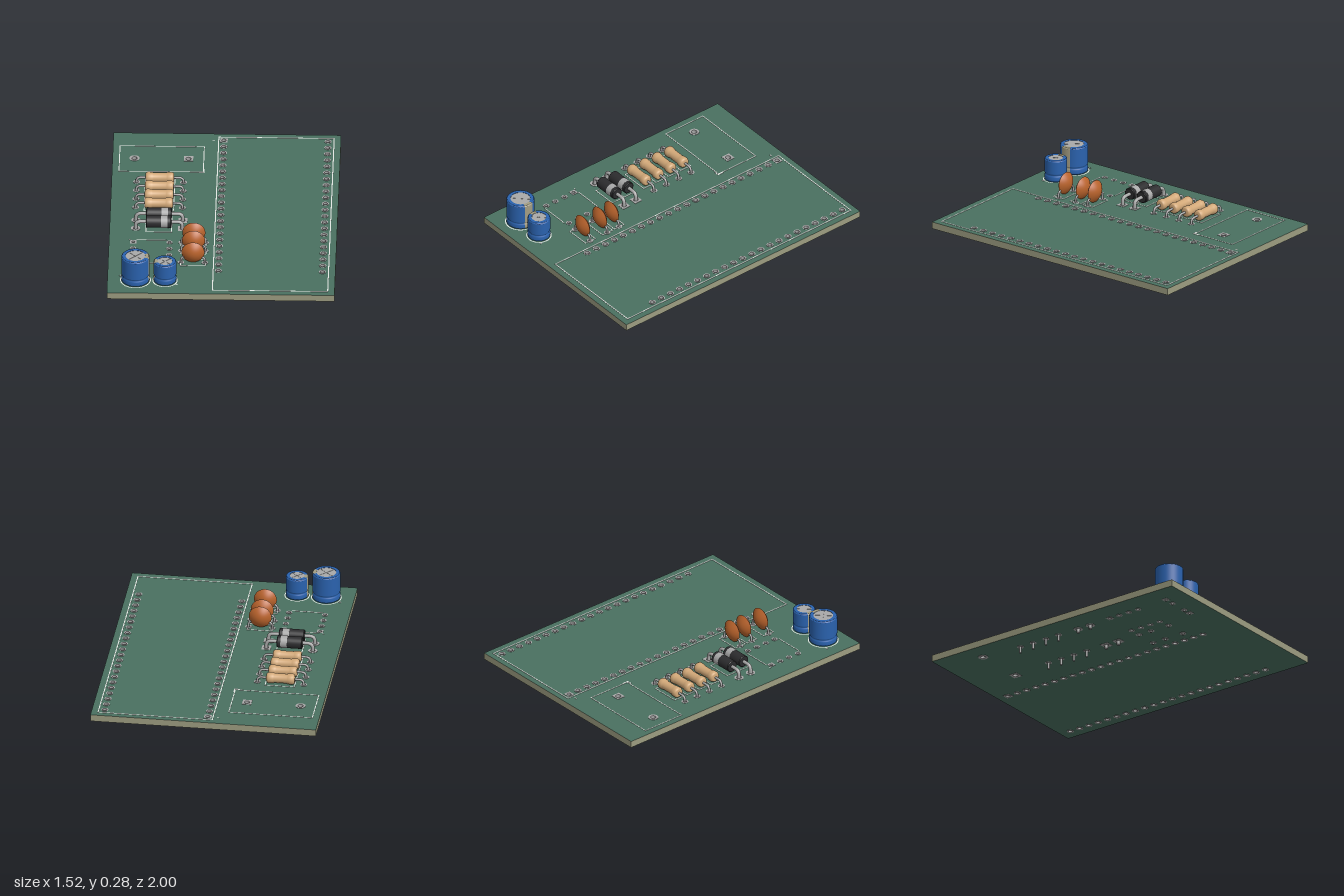
import * as THREE from 'three';

const mat = (name, color, side = THREE.FrontSide) => {
  const m = new THREE.MeshStandardMaterial({ color, side });
  m.name = name;
  return m;
};

export function createModel() {
  const green = mat('solder mask green', 0x4a7060);
  const edge = mat('board edge olive', 0x9c9c80);
  const silk = mat('silkscreen white', 0xe4e8e4);
  const metal = mat('tinned metal', 0xa9a9a9);
  const blue = mat('capacitor blue', 0x2a62ae, THREE.DoubleSide);
  const beige = mat('stripe beige', 0xa39d83, THREE.DoubleSide);
  const orange = mat('ceramic orange', 0xb9632c);
  const tan = mat('resistor tan', 0xd2a878);
  const black = mat('diode black', 0x2c2c2e);

  const root = new THREE.Group();
  root.name = 'circuitBoard';
  const TOP = 0.092, BOTTOM = 0.045;

  const add = (parent, name, geometry, material, x = 0, y = 0, z = 0) => {
    const mesh = new THREE.Mesh(geometry, material);
    mesh.name = name;
    mesh.position.set(x, y, z);
    parent.add(mesh);
    return mesh;
  };
  const group = (name) => {
    const g = new THREE.Group();
    g.name = name;
    root.add(g);
    return g;
  };
  const V = (x, y) => new THREE.Vector2(x, y);
  const circleHole = (x, y, r) => new THREE.Path().absarc(x, y, r, 0, Math.PI * 2, true);
  const lathe = (pts, seg = 32, start = 0, len = Math.PI * 2) =>
    new THREE.LatheGeometry(pts.map(p => V(...p)), seg, start, len);

  // Plated pads, each passing through the board
  const holes = [];
  const pads = group('pads');
  const pad = (x, z, outer, inner, square = false) => {
    holes.push([x, z, (outer + inner) / 2]);
    const s = new THREE.Shape();
    if (square) {
      s.moveTo(-outer, -outer).lineTo(outer, -outer).lineTo(outer, outer).lineTo(-outer, outer).closePath();
    } else s.absarc(0, 0, outer, 0, Math.PI * 2, false);
    s.holes.push(circleHole(0, 0, inner));
    const g = new THREE.ExtrudeGeometry(s, { depth: TOP - BOTTOM + 0.004, bevelEnabled: false, curveSegments: 10 });
    add(pads, 'pad', g.rotateX(-Math.PI / 2), metal, x, BOTTOM - 0.002, z);
  };

  // Silkscreen lines
  const marks = group('silkscreen');
  const line = (x0, z0, x1, z1, w = 0.007) =>
    add(marks, 'printedLine', new THREE.BoxGeometry(Math.abs(x1 - x0) + w, 0.002, Math.abs(z1 - z0) + w), silk,
      (x0 + x1) / 2, TOP + 0.001, (z0 + z1) / 2);
  const outline = (x0, z0, x1, z1, w) => {
    for (const z of [z0, z1]) line(x0, z, x1, z, w);
    for (const x of [x0, x1]) line(x, z0, x, z1, w);
  };
  const ringMark = (x, z, r) =>
    add(marks, 'printedRing', new THREE.RingGeometry(r, r + 0.007, 40).rotateX(-Math.PI / 2), silk, x, TOP + 0.002, z);

  // Round wire along a list of [x, y] corners with rounded bends
  const wire = (parent, z, r, corners, bend = 0.03) => {
    const p = corners.map(([x, y]) => new THREE.Vector3(x, y, 0));
    const path = new THREE.CurvePath();
    let from = p[0];
    for (let i = 1; i < p.length - 1; i++) {
      const a = p[i].clone().add(p[i - 1].clone().sub(p[i]).setLength(bend));
      const b = p[i].clone().add(p[i + 1].clone().sub(p[i]).setLength(bend));
      path.add(new THREE.LineCurve3(from, a));
      path.add(new THREE.QuadraticBezierCurve3(a, p[i], b));
      from = b;
    }
    path.add(new THREE.LineCurve3(from, p[p.length - 1]));
    add(parent, 'lead', new THREE.TubeGeometry(path, 48, r, 10, false), metal, 0, 0, z);
    for (const end of [p[0], p[p.length - 1]])
      if (end.y < BOTTOM)
        add(parent, 'leadTip', new THREE.CircleGeometry(r, 10).rotateX(Math.PI / 2), metal, end.x, end.y, z);
  };

  // Long double pin row
  for (let i = 0; i < 22; i++) {
    const z = -0.917 + i * 0.0774;
    pad(-0.021, z, i ? 0.024 : 0.025, 0.015, i === 0);
    pad(0.674, z, 0.024, 0.015);
  }
  outline(-0.056, -0.957, 0.714, 0.953);
  line(-0.095, -0.917, -0.085, -0.917);

  // Terminal block footprint
  pad(-0.613, -0.682, 0.034, 0.018);
  pad(-0.252, -0.682, 0.031, 0.018, true);
  outline(-0.713, -0.835, -0.15, -0.519, 0.006);
  line(-0.175, -0.51, -0.145, -0.51);
  line(-0.145, -0.55, -0.145, -0.51);

  // Eight-pin chip footprint
  for (let i = 0; i < 4; i++) {
    pad(-0.597, 0.363 + i * 0.078, 0.021, 0.011, i === 0);
    pad(-0.355, 0.363 + i * 0.078, 0.021, 0.011);
  }
  line(-0.575, 0.336, -0.375, 0.336, 0.006);
  line(-0.575, 0.623, -0.375, 0.623, 0.006);
  line(-0.624, 0.332, -0.62, 0.332);

  // Resistors
  for (const z of [-0.387, -0.281, -0.175, -0.069]) {
    const g = group('resistor');
    const half = [[0.037, 0.03], [0.0385, 0.045], [0.037, 0.058], [0.032, 0.07], [0.0315, 0.085]];
    const pts = [[0, 0], [0.026, 0], [0.033, 0.006], [0.0375, 0.016], ...half.slice(0, 1), [0.036, 0.044], [0.032, 0.054], [0.032, 0.0955]];
    const all = [...pts, ...pts.slice(0, -1).reverse().map(([r, y]) => [r, 0.191 - y])];
    add(g, 'resistorBody', lathe(all, 24).rotateZ(-Math.PI / 2), tan, -0.533, 0.13, z);
    wire(g, z, 0.0085, [[-0.592, 0], [-0.592, 0.13], [-0.279, 0.13], [-0.279, 0]]);
    for (const x of [-0.592, -0.279]) pad(x, z, 0.023, 0.012);
    outline(-0.534, z - 0.041, -0.337, z + 0.041, 0.006);
  }

  // Diodes with cathode band
  for (const z of [0.09, 0.191]) {
    const g = group('diode');
    const pts = [[0, 0], [0.037, 0], [0.037, 0], [0.041, 0.004], [0.041, 0.004], [0.041, 0.166], [0.041, 0.166],
      [0.037, 0.17], [0.037, 0.17], [0, 0.17]];
    add(g, 'diodeBody', lathe(pts, 28).rotateZ(-Math.PI / 2), black, -0.517, 0.147, z);
    add(g, 'cathodeBand', new THREE.CylinderGeometry(0.042, 0.042, 0.044, 28).rotateZ(Math.PI / 2), metal, -0.394, 0.147, z);
    wire(g, z, 0.0125, [[-0.586, 0.018], [-0.586, 0.147], [-0.273, 0.147], [-0.273, 0.018]], 0.035);
    pad(-0.586, z, 0.031, 0.016);
    pad(-0.273, z, 0.03, 0.016, true);
    outline(-0.517, z - 0.044, -0.345, z + 0.044, 0.006);
  }

  // Lens-shaped ceramic capacitors
  const lens = [];
  for (let i = 0; i <= 10; i++) {
    const t = 1 - i / 10;
    lens.push([0.077 * t, 0.037 * (1 - t * t)]);
  }
  for (const z of [0.363, 0.464, 0.61]) {
    const g = group('ceramicCapacitor');
    for (const s of [1, -1])
      add(g, 'discHalf', lathe(lens, 36).rotateX(s * Math.PI / 2), orange, -0.193, 0.173, z);
    for (const s of [1, -1]) {
      const x = -0.194 + s * 0.08;
      wire(g, z, 0.0075, [[x, 0.032], [x, 0.125], [x - s * 0.035, 0.15]], 0.015);
      pad(x, z, 0.022, 0.011);
    }
    outline(-0.277, z - 0.041, -0.11, z + 0.041, 0.006);
  }

  // Electrolytic cans: sleeve, polarity stripe and scored metal top
  const can = (x, r, top, inner, stripeAngle, pitch) => {
    const z = 0.838, h = 0.36;
    const g = group('electrolyticCapacitor');
    const pts = [[0, 0.094], [r - 0.008, 0.094], [r - 0.001, 0.1], [r, 0.108], [r, 0.128], [r - 0.003, 0.134],
      [r - 0.006, 0.139], [r - 0.003, 0.144], [r, 0.15], [r, 0.152], [r, top - 0.008], [r, top - 0.006],
      [r - 0.005, top], [r - 0.007, top], [inner, top], [inner, top], [inner, top - 0.006]];
    add(g, 'sleeve', lathe(pts, 40, stripeAngle + h, Math.PI * 2 - 2 * h), blue, x, 0, z);
    add(g, 'polarityStripe', lathe(pts, 8, stripeAngle - h, 2 * h), beige, x, 0, z);
    add(g, 'canTop', new THREE.CylinderGeometry(inner, inner, 0.004, 32), metal, x, top - 0.004, z);
    for (const a of [Math.PI / 4, -Math.PI / 4])
      add(g, 'ventScore', new THREE.BoxGeometry(inner * 1.9, 0.002, 0.005), metal, x, top - 0.0015, z).rotation.y = a;
    for (const s of [1, -1]) {
      wire(g, z, 0.007, [[x + s * pitch, 0.034], [x + s * pitch, 0.11]]);
      pad(x + s * pitch, z, 0.021, 0.01, s === (stripeAngle > Math.PI ? 1 : -1));
    }
    ringMark(x, z, r + 0.002);
  };
  can(-0.572, 0.094, 0.285, 0.066, Math.PI / 2, 0.037);
  can(-0.375, 0.076, 0.246, 0.049, Math.PI * 1.5, 0.03);

  // Small plus marks beside the cans
  for (const [x, z] of [[-0.672, 0.785], [-0.298, 0.885]]) {
    line(x - 0.008, z, x + 0.008, z, 0.004);
    line(x, z - 0.008, x, z + 0.008, 0.004);
  }

  // Drilled board
  const plan = new THREE.Shape([V(-0.76, -1), V(0.76, -1), V(0.76, 1), V(-0.76, 1)]);
  for (const [x, z, r] of holes) plan.holes.push(circleHole(x, -z, r));
  const boardGeo = new THREE.ExtrudeGeometry(plan, { depth: TOP - BOTTOM, bevelEnabled: false, curveSegments: 6 });
  add(root, 'board', boardGeo.rotateX(-Math.PI / 2), [green, edge], 0, BOTTOM, 0);
  return root;
}
